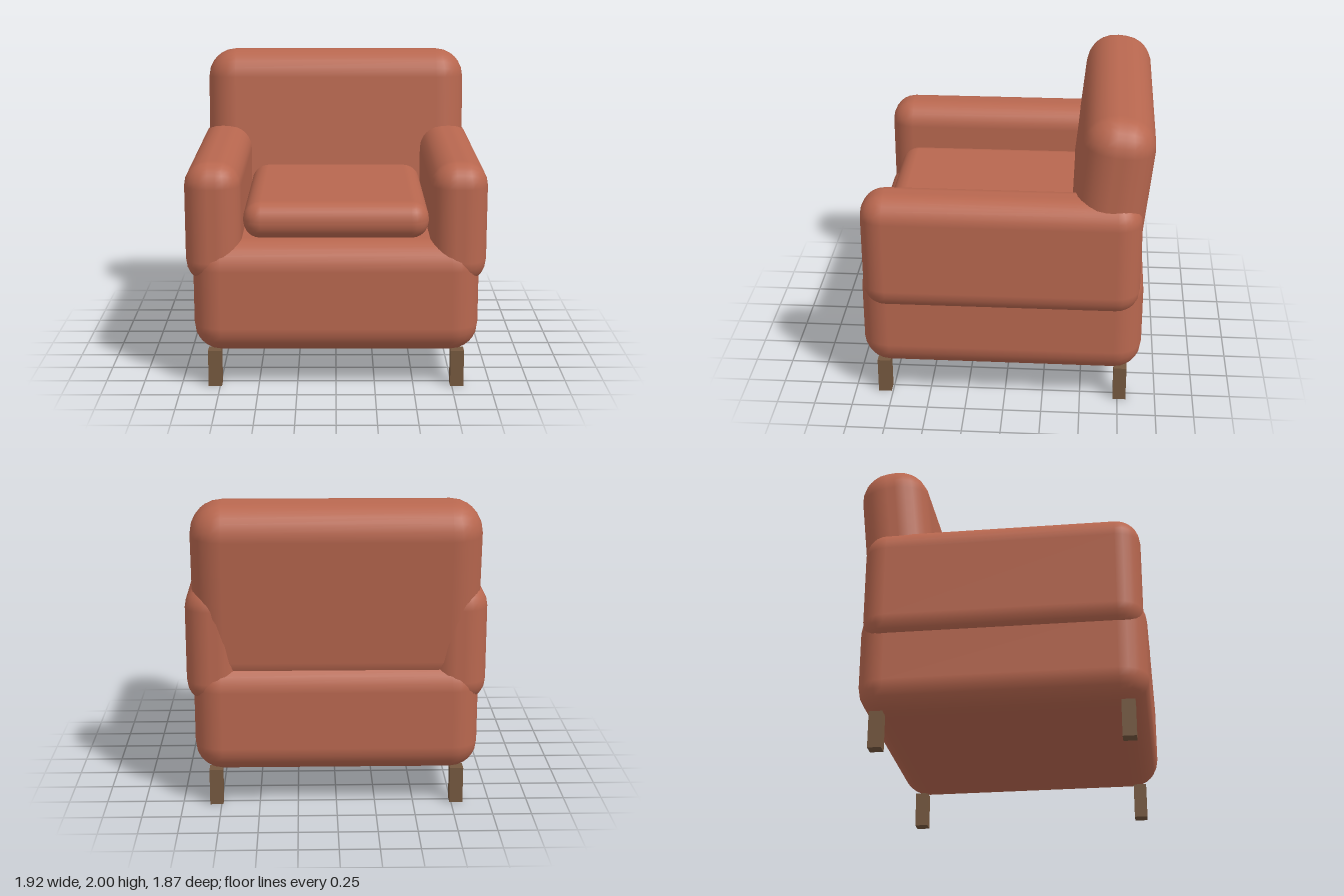
import * as THREE from 'three';
import { RoundedBoxGeometry } from 'three/addons/geometries/RoundedBoxGeometry.js';

export function createModel() {
  const chair = new THREE.Group();
  chair.name = 'armchair';

  const fabric = new THREE.MeshStandardMaterial({ color: 0xb8674f });
  fabric.name = 'terracotta fabric';
  const wood = new THREE.MeshStandardMaterial({ color: 0x75583f });
  wood.name = 'brown wood';

  const add = (name, geometry, material, x, y, z) => {
    const mesh = new THREE.Mesh(geometry, material);
    mesh.name = name;
    mesh.position.set(x, y, z);
    chair.add(mesh);
    return mesh;
  };
  // Upholstered block with softly rounded edges
  const padded = (name, [w, h, d], radius, [x, y, z]) =>
    add(name, new RoundedBoxGeometry(w, h, d, 3, radius), fabric, x, y, z);

  // Base and seat cushion
  padded('base', [1.83, 0.735, 1.83], 0.18, [0, 0.6025, 0.02]);
  padded('seatCushion', [1.19, 0.24, 1.34], 0.115, [0, 1.08, 0.15]);

  // Backrest, leaning slightly backwards
  const back = padded('backrest', [1.83, 1.2, 0.452], 0.2, [0, 1.398, -0.666]);
  back.rotation.x = -0.105;

  // Armrests and legs, mirrored left and right
  for (const [side, s] of [['left', 1], ['right', -1]]) {
    padded(side + 'Armrest', [0.36, 0.787, 1.785], 0.155, [s * 0.78, 1.0785, 0.0225]);
    for (const [end, z] of [['Front', 0.803], ['Back', -0.763]]) {
      add(side + end + 'Leg', new THREE.BoxGeometry(0.086, 0.24, 0.086), wood, s * 0.782, 0.12, z);
    }
  }
  return chair;
}
